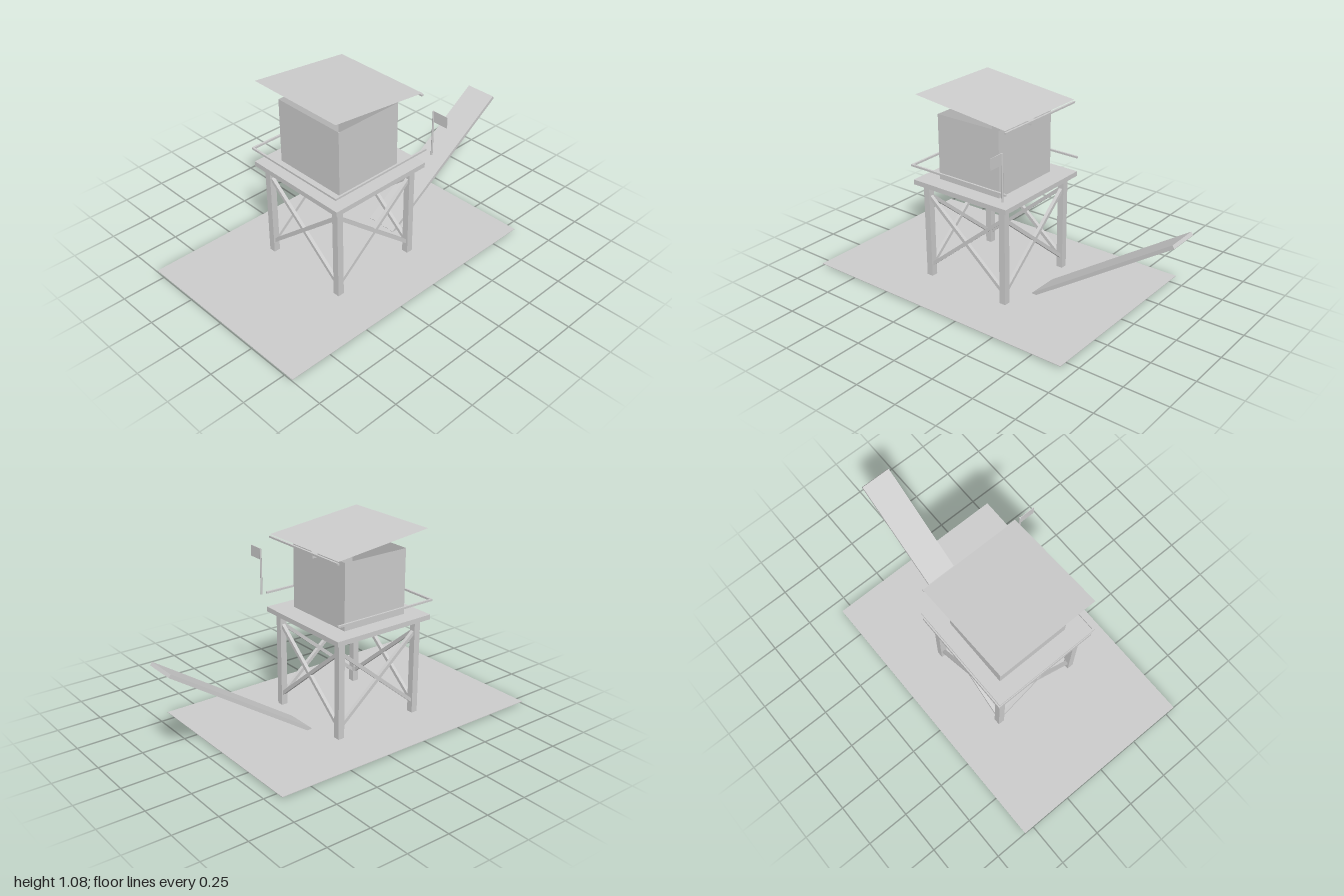
import * as THREE from 'three';

export function createModel() {
  const model = new THREE.Group();
  model.name = 'watchtower';
  const paleGrey = new THREE.MeshStandardMaterial({ color: 0xcccccc, side: THREE.DoubleSide });
  paleGrey.name = 'pale grey';

  const add = (name, geometry, x, y, z, parent = model) => {
    const mesh = new THREE.Mesh(geometry, paleGrey);
    mesh.name = name;
    mesh.position.set(x, y, z);
    parent.add(mesh);
    return mesh;
  };
  const box = (name, w, h, d, x, y, z, parent) =>
    add(name, new THREE.BoxGeometry(w, h, d), x, y, z, parent);

  // Ground sheet
  box('ground', 1.116, 0.003, 1.68, 0, 0.0115, 0.16);

  // Stand, centred on the tower axis
  const tower = new THREE.Group();
  tower.name = 'tower';
  tower.position.z = 0.16;
  model.add(tower);
  const reach = 0.26;
  for (const sx of [-1, 1]) {
    for (const sz of [-1, 1]) {
      box('leg', 0.038, 0.562, 0.038, sx * reach, 0.29, sz * reach, tower);
    }
  }
  box('platform', 0.632, 0.028, 0.632, 0, 0.584, 0, tower);

  // Crossed braces on all four sides
  const rise = 0.435;
  const braceLength = Math.hypot(2 * reach, rise);
  const braceAngle = Math.atan2(rise, 2 * reach);
  for (let i = 0; i < 4; i++) {
    const side = new THREE.Group();
    side.name = 'braceSide';
    side.rotation.y = i * Math.PI / 2;
    tower.add(side);
    for (const s of [-1, 1]) {
      box('brace', braceLength, 0.02, 0.02, 0, 0.29, reach, side).rotation.z = s * braceAngle;
    }
  }

  // Cabin: four walls, open at the top
  const [cw, ch, cd, cy, cz] = [0.446, 0.372, 0.41, 0.784, 0.165];
  for (const s of [-1, 1]) {
    add('cabinWall', new THREE.PlaneGeometry(cw, ch), 0, cy, cz + s * cd / 2)
      .rotation.y = s > 0 ? 0 : Math.PI;
    add('cabinSideWall', new THREE.PlaneGeometry(cd, ch), s * cw / 2, cy, cz)
      .rotation.y = s * Math.PI / 2;
  }

  // Railing on three sides, open at the back
  box('frontRail', 0.642, 0.011, 0.011, 0, 0.681, 0.48);
  for (const s of [-1, 1]) box('sideRail', 0.011, 0.011, 0.635, s * 0.3155, 0.681, 0.16);

  // Sloping roof sheet, higher at the front
  const [roofDepth, roofDrop] = [0.595, 0.065];
  const roof = add('roof', new THREE.PlaneGeometry(0.592, Math.hypot(roofDepth, roofDrop)), 0, 1.0475, 0.158);
  roof.rotation.x = -Math.PI / 2 - Math.atan2(roofDrop, roofDepth);

  // Bar under the rear roof edge and small fitting behind the cabin
  box('roofBar', 0.592, 0.01, 0.012, 0, 1.002, -0.14);
  box('rearFitting', 0.05, 0.02, 0.037, 0, 0.963, -0.078);

  // Flag on its pole
  add('flagPole', new THREE.CylinderGeometry(0.0055, 0.0055, 0.262, 12), 0.3525, 0.792, -0.165);
  box('flag', 0.095, 0.063, 0.003, 0.398, 0.893, -0.165);

  // Ramp rising to the rear
  box('ramp', 0.184, 0.02, 1, 0, 0.287, -0.578).rotation.x = 0.59;

  return model;
}
